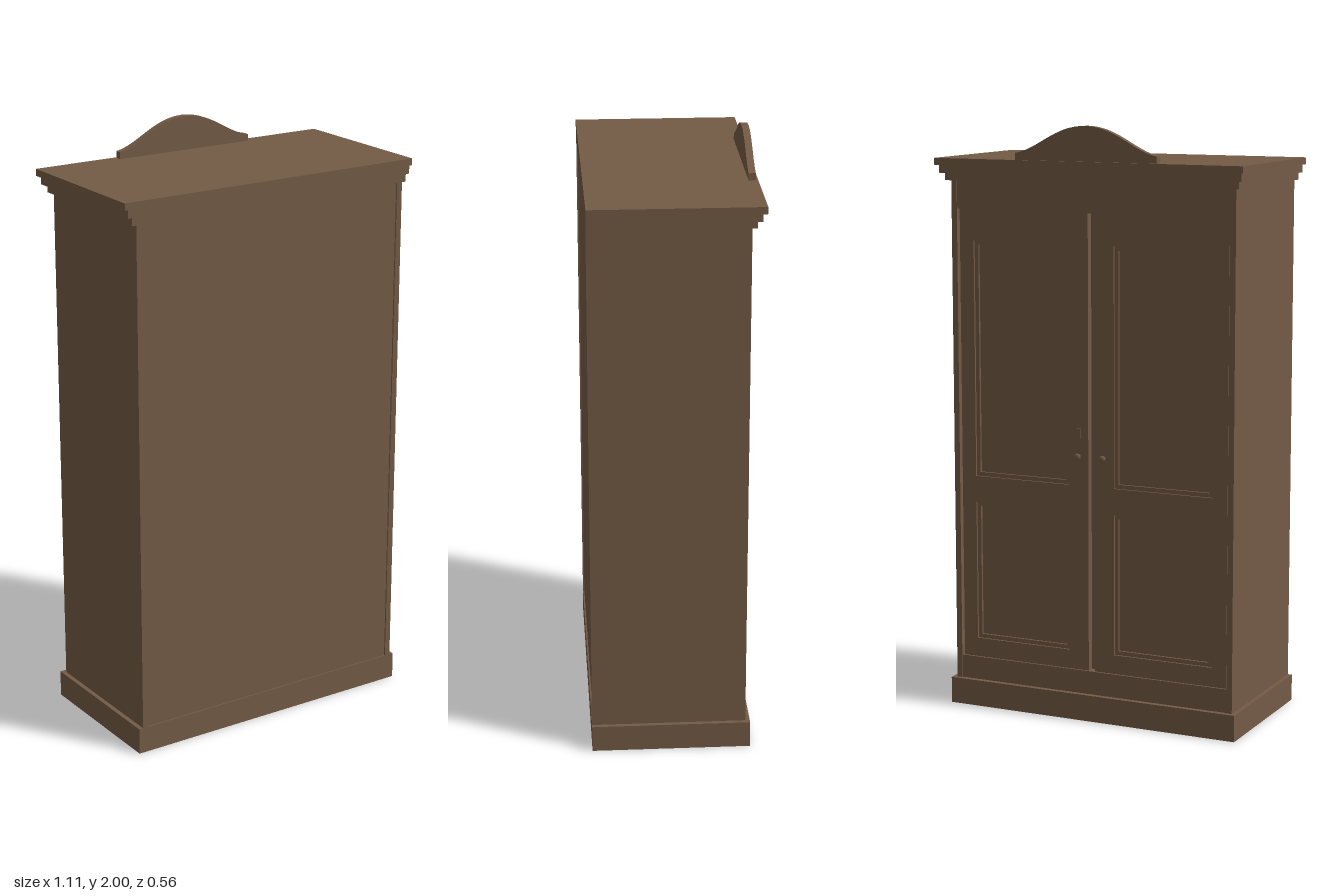
import * as THREE from 'three';

const wood = new THREE.MeshStandardMaterial({ color: 0x735a45 });
wood.name = 'brown wood';

// Box given by its min and max corners
function box(parent, name, x0, x1, y0, y1, z0, z1) {
  const mesh = new THREE.Mesh(new THREE.BoxGeometry(x1 - x0, y1 - y0, z1 - z0), wood);
  mesh.position.set((x0 + x1) / 2, (y0 + y1) / 2, (z0 + z1) / 2);
  mesh.name = name;
  parent.add(mesh);
  return mesh;
}

function rectangle(Type, x0, x1, y0, y1) {
  const r = new Type();
  r.moveTo(x0, y0);
  r.lineTo(x1, y0);
  r.lineTo(x1, y1);
  r.lineTo(x0, y1);
  r.closePath();
  return r;
}

// Extrude a shape from z0 to z1
function extrude(parent, name, shape, z0, z1) {
  const geometry = new THREE.ExtrudeGeometry(shape, { depth: z1 - z0, bevelEnabled: false, curveSegments: 16 });
  geometry.translate(0, 0, z0);
  const mesh = new THREE.Mesh(geometry, wood);
  mesh.name = name;
  parent.add(mesh);
}

const BACK = 0.278;
const FACE = -0.235;

// One panelled door; side is +1 or -1
function makeDoor(side) {
  const door = new THREE.Group();
  door.name = side > 0 ? 'leftDoor' : 'rightDoor';
  const span = (a, b) => (side > 0 ? [a, b] : [-b, -a]);
  const [px0, px1] = span(0.082, 0.438);
  const panels = [[0.235, 0.715], [0.805, 1.61]];

  // Stiles and rails around two openings
  const frame = rectangle(THREE.Shape, ...span(0.012, 0.49), 0.17, 1.715);
  for (const [y0, y1] of panels) frame.holes.push(rectangle(THREE.Path, px0, px1, y0, y1));
  extrude(door, 'doorFrame', frame, -0.225, -0.2);

  // Moulding and recessed panel in each opening
  for (const [y0, y1] of panels) {
    const moulding = rectangle(THREE.Shape, px0, px1, y0, y1);
    moulding.holes.push(rectangle(THREE.Path, px0 + 0.014, px1 - 0.014, y0 + 0.014, y1 - 0.014));
    extrude(door, 'panelMoulding', moulding, -0.218, -0.205);
    box(door, 'doorPanel', px0, px1, y0, y1, -0.21, -0.2);
  }

  // Knob on a short stem
  const knobProfile = [[0, 0], [0.006, 0], [0.006, 0.008], [0.011, 0.012], [0.011, 0.017], [0.007, 0.021], [0, 0.021]];
  const knob = new THREE.Mesh(new THREE.LatheGeometry(knobProfile.map(([x, y]) => new THREE.Vector2(x, y)), 16), wood);
  knob.name = 'knob';
  knob.rotation.x = -Math.PI / 2;
  knob.position.set(side * 0.046, 0.905, -0.225);
  door.add(knob);
  return door;
}

export function createModel() {
  const model = new THREE.Group();
  model.name = 'wardrobe';

  // Carcass
  box(model, 'plinth', -0.53, 0.53, 0, 0.09, -0.25, BACK);
  for (const s of [-1, 1]) {
    const [a, b] = s > 0 ? [0.495, 0.515] : [-0.515, -0.495];
    box(model, 'sidePanel', a, b, 0.09, 1.81, FACE, BACK);
  }
  box(model, 'backPanel', -0.495, 0.495, 0.09, 1.81, 0.255, 0.273);

  // Rails above and below the doors
  box(model, 'frieze', -0.495, 0.495, 1.715, 1.81, -0.232, -0.2);
  box(model, 'bottomRail', -0.495, 0.495, 0.09, 0.17, -0.232, -0.2);

  // Doors with a meeting strip behind the gap
  for (const s of [1, -1]) model.add(makeDoor(s));
  box(model, 'meetingStrip', -0.03, 0.03, 0.17, 1.715, -0.199, -0.19);
  box(model, 'keyholePlate', 0.04, 0.052, 0.965, 1.0, -0.231, -0.225);

  // Stepped cornice, flush at the back
  [[0.53, 1.81, 1.835, -0.25], [0.544, 1.835, 1.862, -0.265], [0.555, 1.862, 1.885, -0.278]]
    .forEach(([w, y0, y1, z]) => box(model, 'corniceStep', -w, w, y0, y1, z, BACK));

  // Curved crest
  const crest = new THREE.Shape();
  crest.moveTo(-0.255, 1.885);
  crest.lineTo(0.255, 1.885);
  crest.lineTo(0.255, 1.908);
  crest.bezierCurveTo(0.17, 1.922, 0.11, 2, 0, 2);
  crest.bezierCurveTo(-0.11, 2, -0.17, 1.922, -0.255, 1.908);
  crest.closePath();
  extrude(model, 'crest', crest, -0.27, -0.247);

  return model;
}
